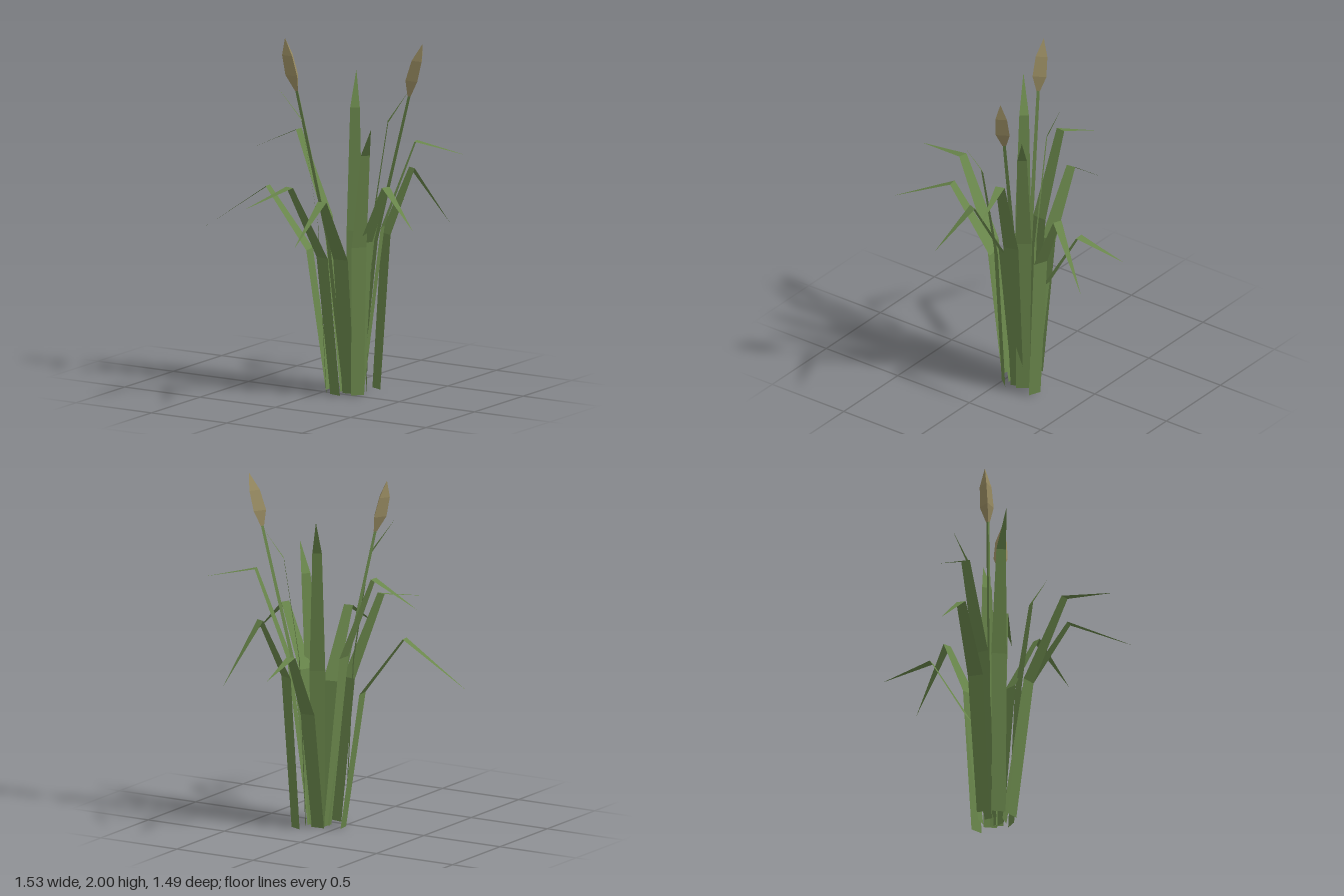
import * as THREE from 'three';

const leafGreen = new THREE.MeshStandardMaterial({ color: 0x69864b, flatShading: true, side: THREE.DoubleSide });
leafGreen.name = 'leafGreen';
const seedTan = new THREE.MeshStandardMaterial({ color: 0x9a8d63, flatShading: true, side: THREE.DoubleSide });
seedTan.name = 'seedTan';

function surface(name, points, index, material) {
  const indexed = new THREE.BufferGeometry();
  indexed.setAttribute('position', new THREE.Float32BufferAttribute(points, 3));
  indexed.setIndex(index);
  const geometry = indexed.toNonIndexed();
  geometry.computeVertexNormals();
  const mesh = new THREE.Mesh(geometry, material);
  mesh.name = name;
  return mesh;
}

// Flat ribbon through root, middle, bend and tip; its face looks outward
const bladeWidths = [0.076, 0.088, 0.054, 0];
function blade(path) {
  const tip = path[path.length - 1];
  const out = new THREE.Vector3(tip[0] - path[0][0], 0, tip[2] - path[0][2]).normalize();
  const side = new THREE.Vector3(0, 1, 0).cross(out);
  const points = [];
  const index = [];
  path.forEach(([x, y, z], i) => {
    const h = bladeWidths[i] / 2;
    points.push(x - side.x * h, y, z - side.z * h, x + side.x * h, y, z + side.z * h);
    if (i === 0) return;
    const a = 2 * i - 2;
    index.push(a, a + 1, a + 3);
    if (i < path.length - 1) index.push(a, a + 3, a + 2);
  });
  return surface('leafBlade', points, index, leafGreen);
}

// Three-sided loft: one horizontal triangle per path point
function loft(name, path, radii, material) {
  const points = [];
  const index = [];
  path.forEach(([x, y, z], i) => {
    for (let k = 0; k < 3; k++) {
      const a = Math.PI * (1 / 6 + (2 * k) / 3);
      points.push(x + radii[i] * Math.cos(a), y, z + radii[i] * Math.sin(a));
      if (i === 0) continue;
      const p = 3 * (i - 1) + k;
      const q = 3 * (i - 1) + ((k + 1) % 3);
      index.push(p, p + 3, q, q, p + 3, q + 3);
    }
  });
  return surface(name, points, index, material);
}

// Stalk with a pointed seed head on top
function cattail(path, tip) {
  const group = new THREE.Group();
  group.name = 'cattail';
  group.add(loft('stalk', path, [0.014, 0.013, 0.01], leafGreen));
  const foot = new THREE.Vector3(...path[path.length - 1]);
  const top = new THREE.Vector3(...tip);
  const rings = [0, 0.3, 0.68, 1].map((t) => foot.clone().lerp(top, t).toArray());
  group.add(loft('seedHead', rings, [0.012, 0.045, 0.038, 0.001], seedTan));
  return group;
}

// Leaf paths: root, middle, bend, tip
const blades = [
  [[0.10, 0, -0.155], [0.115, 0.665, -0.24], [0.09, 1.04, -0.455], [0.065, 0.965, -0.75]],
  [[0.20, 0, -0.23], [0.225, 0.875, -0.29], [0.29, 1.23, -0.457], [0.387, 0.885, -0.695]],
  [[0.19, 0, -0.10], [0.30, 0.95, -0.14], [0.48, 1.45, -0.20], [0.76, 1.385, -0.285]],
  [[0.18, 0, -0.08], [0.25, 0.87, -0.045], [0.43, 1.22, 0.03], [0.666, 1.01, 0.117]],
  [[0.21, 0, -0.02], [0.24, 0.85, 0.01], [0.31, 1.39, 0.055], [0.39, 1.56, 0.12]],
  [[0.19, 0, -0.14], [0.215, 0.95, -0.165], [0.29, 1.535, -0.21], [0.385, 1.712, -0.28]],
  [[0.145, 0, -0.03], [0.165, 0.785, 0.085], [0.207, 1.165, 0.34], [0.265, 0.975, 0.715]],
  [[0.10, 0, 0.04], [0.085, 0.80, 0.15], [0.03, 1.24, 0.40], [-0.047, 1.165, 0.744]],
  [[0.015, 0, 0], [-0.025, 0.95, 0.02], [-0.10, 1.55, 0.07], [-0.21, 1.745, 0.158]],
  [[-0.02, 0, -0.08], [-0.14, 0.785, -0.07], [-0.395, 1.125, -0.035], [-0.768, 0.86, 0.023]],
  [[0.08, 0, -0.085], [-0.03, 0.98, -0.09], [-0.225, 1.458, -0.09], [-0.526, 1.32, -0.11]],
  [[0.11, 0, -0.14], [0.10, 0.90, -0.16], [0.068, 1.59, -0.215], [0.027, 1.79, -0.293]],
];

export function createModel() {
  const model = new THREE.Group();
  model.name = 'reedClump';

  const leaves = new THREE.Group();
  leaves.name = 'leaves';
  blades.forEach((path) => leaves.add(blade(path)));
  model.add(leaves);

  model.add(cattail([[0.18, 0, -0.10], [0.26, 0.87, -0.14], [0.44, 1.70, -0.20]], [0.51, 2, -0.225]));
  model.add(cattail([[0.085, 0, -0.08], [0, 0.85, -0.05], [-0.165, 1.70, 0.02]], [-0.235, 1.995, 0.035]));
  return model;
}
